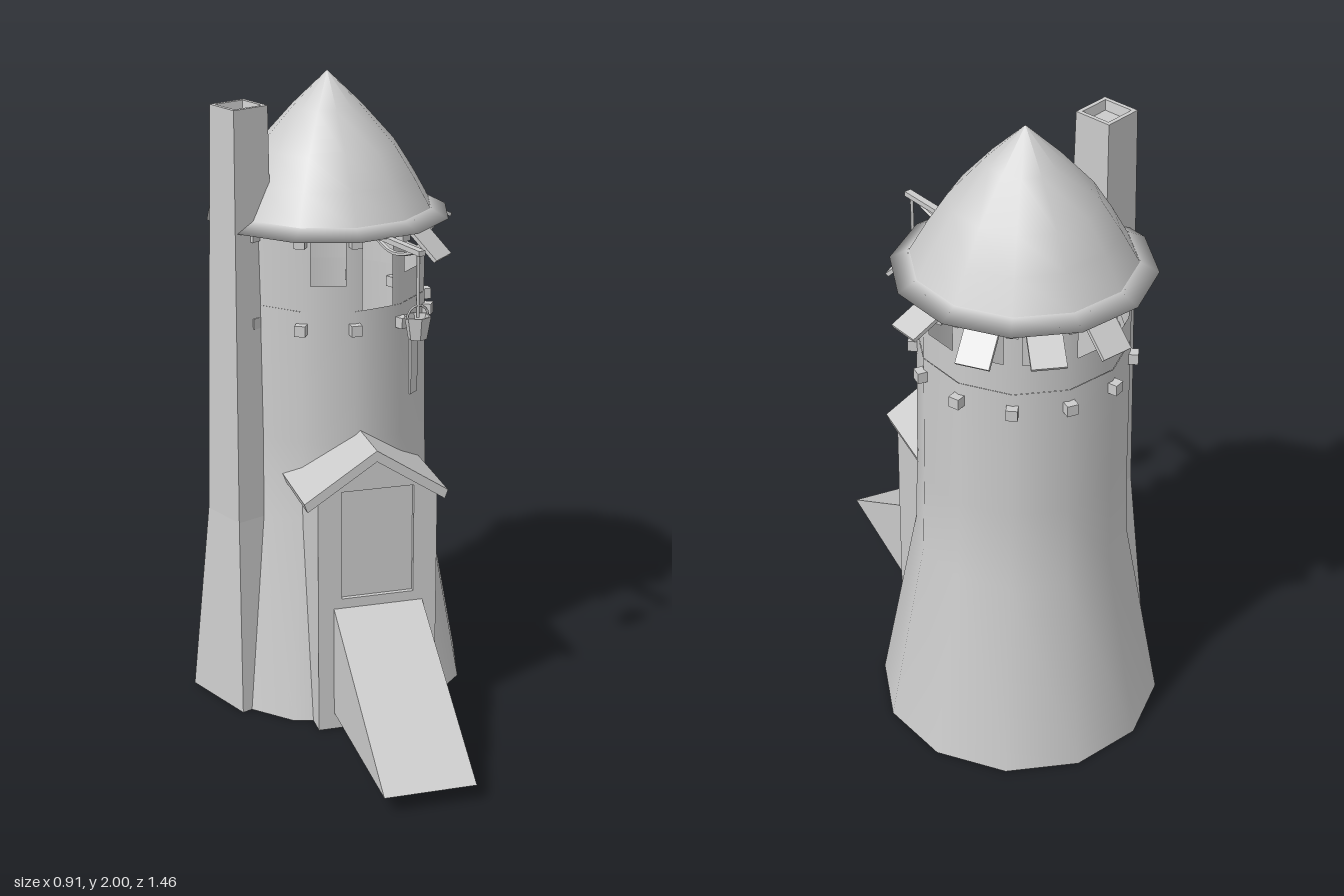
import * as THREE from 'three';

const CX = 0.015, CZ = -0.285, SIDES = 12;
const rad = THREE.MathUtils.degToRad;
const smooth = new THREE.MeshStandardMaterial({ color: 0xcccccc, side: THREE.DoubleSide });
const flat = new THREE.MeshStandardMaterial({ color: 0xcccccc, side: THREE.DoubleSide, flatShading: true });

function add(parent, name, geometry, material = flat, x = 0, y = 0, z = 0) {
  const mesh = new THREE.Mesh(geometry, material);
  mesh.name = name;
  mesh.position.set(x, y, z);
  parent.add(mesh);
  return mesh;
}

const lathe = (pts) => new THREE.LatheGeometry(pts.map(([r, y]) => new THREE.Vector2(r, y)), SIDES);

function shapeOf(pts) {
  return new THREE.Shape(pts.map(([x, y]) => new THREE.Vector2(x, y)));
}

const extrude = (shape, depth) => new THREE.ExtrudeGeometry(shape, { depth, bevelEnabled: false });

// Upper wall band: one panel per side, cut by a window where sills[i] is set
function windowBand(r, y0, y1, sills) {
  const pos = [], nor = [];
  sills.forEach((sill, i) => {
    const a0 = (i * Math.PI * 2) / SIDES, a1 = ((i + 1) * Math.PI * 2) / SIDES;
    const put = (t, y) => {
      const a = a0 + (a1 - a0) * t;
      pos.push(r * THREE.MathUtils.lerp(Math.sin(a0), Math.sin(a1), t), y,
        r * THREE.MathUtils.lerp(Math.cos(a0), Math.cos(a1), t));
      nor.push(Math.sin(a), 0, Math.cos(a));
    };
    const quad = (t0, t1, b, t) => {
      put(t0, b); put(t1, b); put(t1, t);
      put(t0, b); put(t1, t); put(t0, t);
    };
    if (!sill) return quad(0, 1, y0, y1);
    quad(0, 0.17, y0, y1);
    quad(0.83, 1, y0, y1);
    if (sill > y0) quad(0.17, 0.83, y0, sill);
  });
  const g = new THREE.BufferGeometry();
  g.setAttribute('position', new THREE.Float32BufferAttribute(pos, 3));
  g.setAttribute('normal', new THREE.Float32BufferAttribute(nor, 3));
  return g;
}

// Loft through rectangular rings of four corners each
function loft(rings) {
  const pos = [], idx = [];
  rings.forEach((ring) => ring.forEach((p) => pos.push(...p)));
  for (let i = 0; i < rings.length - 1; i++) {
    for (let j = 0; j < 4; j++) {
      const a = i * 4 + j, b = i * 4 + ((j + 1) % 4);
      idx.push(a, b, b + 4, a, b + 4, a + 4);
    }
  }
  const last = (rings.length - 1) * 4;
  idx.push(last, last + 1, last + 2, last, last + 2, last + 3);
  const g = new THREE.BufferGeometry();
  g.setAttribute('position', new THREE.Float32BufferAttribute(pos, 3));
  g.setIndex(idx);
  const out = g.toNonIndexed();
  out.computeVertexNormals();
  return out;
}

function buildTower() {
  const tower = new THREE.Group();
  tower.name = 'tower';
  tower.position.set(CX, 0, CZ);

  add(tower, 'towerWall', lathe([[0.44, 0], [0.325, 0.63], [0.317, 0.9], [0.312, 1.32]]), smooth);
  const sills = [1.32, 0, 1.415, 0, 0, 0, 0, 1.415, 1.415, 0, 0, 1.4];
  [1, 3, 4, 5, 6].forEach((i) => { sills[i] = 1.415; });
  add(tower, 'windowBand', windowBand(0.311, 1.32, 1.57, sills), smooth);

  // Roof cone and its sharp eave
  add(tower, 'roof', lathe([[0.328, 1.585], [0.275, 1.68], [0.215, 1.775], [0.11, 1.893], [0, 2]]), smooth);
  add(tower, 'eave', lathe([[0.305, 1.57], [0.385, 1.556], [0.328, 1.586]]), smooth);

  // Beam ends at the corners, in two rows
  for (let i = 0; i < SIDES; i++) {
    const a = (i * Math.PI * 2) / SIDES;
    [1.265, 1.54].forEach((y) => {
      const end = add(tower, 'beamEnd', new THREE.BoxGeometry(0.034, 0.034, 0.05), flat,
        Math.sin(a) * 0.312, y, Math.cos(a) * 0.312);
      end.rotation.y = a;
    });
  }

  // Top-hung shutters: direction and tilt below horizontal
  [[45, 0.75], [105, 0.42], [135, 0.78], [165, 0.6], [195, 0.78]].forEach(([deg, tilt]) => {
    const hinge = new THREE.Group();
    hinge.name = 'shutter';
    const a = rad(deg);
    hinge.position.set(Math.sin(a) * 0.302, 1.555, Math.cos(a) * 0.302);
    hinge.rotation.set(tilt, a, 0, 'YXZ');
    add(hinge, 'shutterPlate', new THREE.BoxGeometry(0.1, 0.012, 0.14), flat, 0, 0, 0.07);
    tower.add(hinge);
  });

  // Narrow slit
  const slit = add(tower, 'slit', new THREE.BoxGeometry(0.044, 0.22, 0.012), flat,
    Math.sin(rad(45)) * 0.304, 1.12, Math.cos(rad(45)) * 0.304);
  slit.rotation.y = rad(45);
  return tower;
}

function buildChimney() {
  // Outward and sideways directions of the rectangular section
  const out = [-0.92, 0.39], side = [0.39, 0.92];
  const ring = (mx, mz, w, d, y, inset = 0) =>
    [[-1, 0], [1, 0], [1, 1], [-1, 1]].map(([s, back]) => {
      const u = s * (w / 2 - inset), v = -(back ? d - inset : inset);
      return [mx + side[0] * u + out[0] * v, y, mz + side[1] * u + out[1] * v];
    });
  return loft([
    ring(-0.4, -0.125, 0.27, 0.2, 0),
    ring(-0.367, -0.14, 0.165, 0.15, 0.63),
    ring(-0.345, -0.155, 0.122, 0.125, 1.93),
    ring(-0.345, -0.155, 0.122, 0.125, 1.93, 0.013),
    ring(-0.345, -0.155, 0.122, 0.125, 1.9, 0.018),
  ]);
}

function buildPorch() {
  const porch = new THREE.Group();
  porch.name = 'porch';

  // Gabled front with a door opening, and side walls running into the tower
  const front = shapeOf([[-0.145, 0], [0.235, 0], [0.235, 0.775], [0.035, 0.905], [-0.145, 0.775]]);
  front.holes.push(new THREE.Path([[-0.07, 0.445], [-0.07, 0.8], [0.16, 0.8], [0.16, 0.445]]
    .map(([x, y]) => new THREE.Vector2(x, y))));
  add(porch, 'porchFront', extrude(front, 0.02), flat, 0, 0, 0.16);
  add(porch, 'door', new THREE.BoxGeometry(0.25, 0.38, 0.01), flat, 0.045, 0.622, 0.16);
  [-0.135, 0.225].forEach((x) =>
    add(porch, 'porchSide', new THREE.BoxGeometry(0.02, 0.775, 0.26), flat, x, 0.3875, 0.03));

  // Pitched roof
  const chevron = shapeOf([[-0.195, 0.785], [-0.185, 0.757], [0.033, 0.9], [0.25, 0.757],
    [0.26, 0.785], [0.033, 0.935]]);
  add(porch, 'porchRoof', extrude(chevron, 0.3), flat, 0, 0, -0.09);

  // Solid ramp, extruded sideways
  const ramp = extrude(shapeOf([[-0.73, 0.055], [-0.17, 0.055], [-0.17, 0.42]]), 0.285);
  ramp.rotateY(Math.PI / 2);
  add(porch, 'ramp', ramp, flat, -0.095);
  return porch;
}

function buildHoist() {
  const hoist = new THREE.Group();
  hoist.name = 'hoist';
  hoist.position.set(0.152, 0, 0.222);
  const arm = new THREE.Group();
  arm.name = 'hoistArm';
  arm.rotation.y = rad(16);
  add(arm, 'beam', new THREE.BoxGeometry(0.022, 0.016, 0.26), flat, 0, 1.55, -0.11);
  const brace = new THREE.CatmullRomCurve3([[-0.02, 1.545], [-0.09, 1.522], [-0.15, 1.517], [-0.24, 1.545]]
    .map(([z, y]) => new THREE.Vector3(0, y, z)));
  add(arm, 'brace', new THREE.TubeGeometry(brace, 8, 0.007, 5));
  hoist.add(arm);

  // Rope and bucket
  add(hoist, 'rope', new THREE.CylinderGeometry(0.005, 0.005, 0.2, 6), smooth, 0, 1.45, 0);
  const bucket = [[0, 1.285], [0.029, 1.285], [0.041, 1.355], [0.035, 1.355], [0.026, 1.3], [0, 1.3]]
    .map(([r, y]) => new THREE.Vector2(r, y));
  add(hoist, 'bucket', new THREE.LatheGeometry(bucket, 6));
  const handle = add(hoist, 'handle', new THREE.TorusGeometry(0.037, 0.004, 4, 8, Math.PI), smooth, 0, 1.35, 0);
  handle.rotation.y = rad(16);
  return hoist;
}

export function createModel() {
  const model = new THREE.Group();
  model.name = 'watchtower';
  model.add(buildTower(), buildPorch(), buildHoist());
  add(model, 'chimney', buildChimney());
  return model;
}
